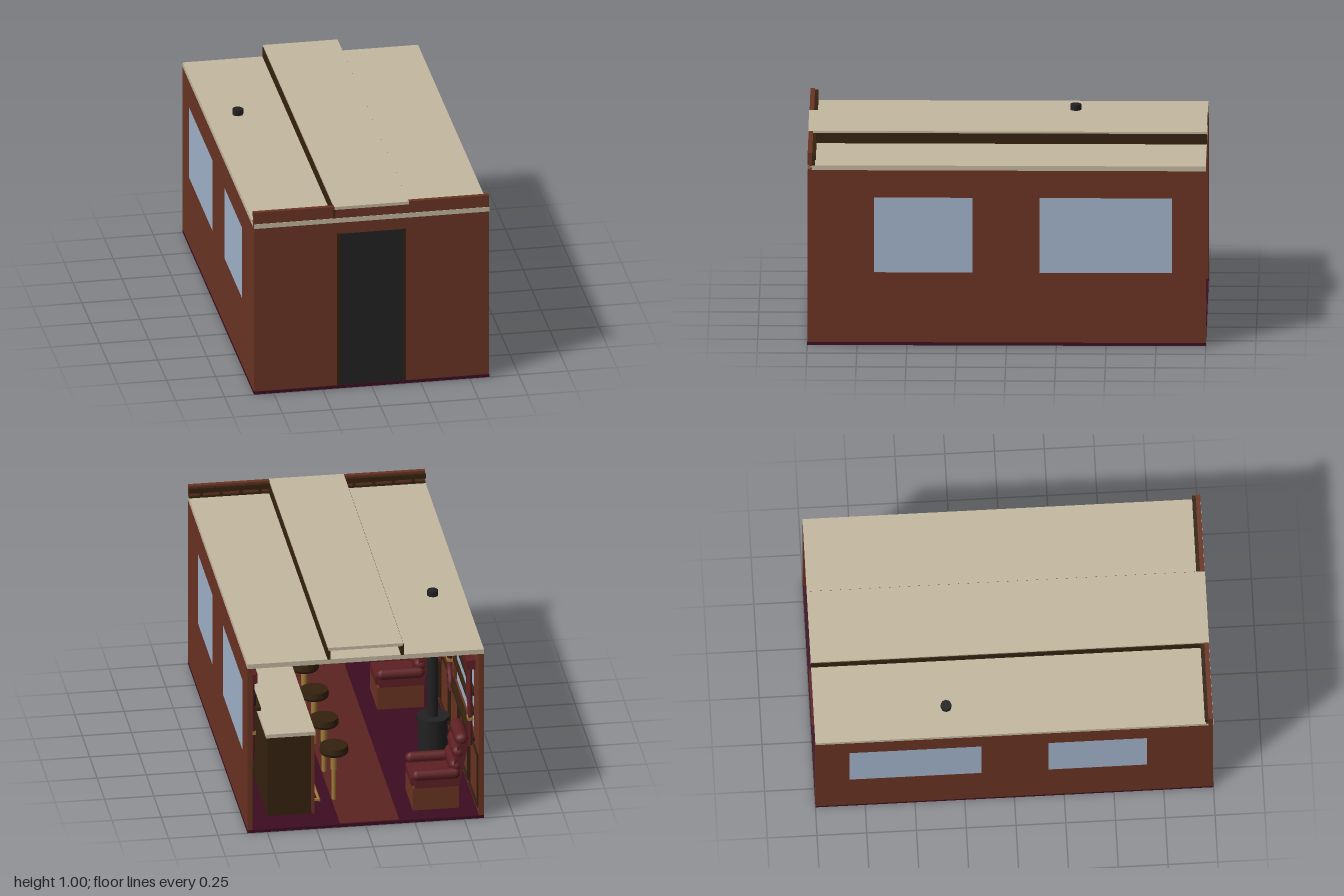
import * as THREE from 'three';

const mat = (name, color, side = THREE.FrontSide) => {
  const m = new THREE.MeshStandardMaterial({ color, side });
  m.name = name;
  return m;
};

export function createModel() {
  const wood = mat('red brown wood', 0x6b3423);
  const dark = mat('dark brown wood', 0x35220f);
  const cream = mat('cream', 0xc4b8a0);
  const black = mat('black iron', 0x222222);
  const glass = mat('pale blue glass', 0xa3b5cc);
  const burgundy = mat('burgundy floor', 0x3d0c22);
  const rugRed = mat('rug red', 0x5c2422);
  const maroon = mat('maroon fabric', 0x5e2024, THREE.DoubleSide);
  const brass = mat('brass', 0xa07a38);

  const root = new THREE.Group();
  root.name = 'saloonCar';
  const add = (name, geo, material, x = 0, y = 0, z = 0, parent = root) => {
    const m = new THREE.Mesh(geo, material);
    m.name = name;
    m.position.set(x, y, z);
    parent.add(m);
    return m;
  };
  // Box given by its limits on each axis
  const box = (name, material, [x0, x1], [y0, y1], [z0, z1], parent = root) =>
    add(name, new THREE.BoxGeometry(x1 - x0, y1 - y0, z1 - z0), material,
      (x0 + x1) / 2, (y0 + y1) / 2, (z0 + z1) / 2, parent);
  const rod = (name, material, r, h, x, y, z, parent = root, sides = 12, r2 = r) =>
    add(name, new THREE.CylinderGeometry(r2, r, h, sides), material, x, y + h / 2, z, parent);

  // Floor and rug
  box('floor', burgundy, [-0.6, 0.6], [0, 0.016], [-1, 1]);
  box('rug', rugRed, [-0.17, 0.13], [0.016, 0.021], [-0.995, 0.9]);

  // Side walls with window openings and panes
  const windows = [[-0.83, -0.165], [0.17, 0.665]];
  const wy = [0.38, 0.77];
  const rect = (C, a, b, c, d) => {
    const s = new C();
    s.moveTo(a, c); s.lineTo(b, c); s.lineTo(b, d); s.lineTo(a, d); s.closePath();
    return s;
  };
  const wallShape = rect(THREE.Shape, -1, 0.975, 0.016, 0.912);
  windows.forEach(([a, b]) => wallShape.holes.push(rect(THREE.Path, a, b, ...wy)));
  const wallGeo = new THREE.ExtrudeGeometry(wallShape, { depth: 0.025, bevelEnabled: false });
  for (const s of [1, -1]) {
    const wall = add('sideWall', wallGeo, wood, s > 0 ? 0.6 : -0.575, 0, 0);
    wall.rotation.y = -Math.PI / 2;
    windows.forEach(([a, b]) =>
      box('windowPane', glass, s > 0 ? [0.588, 0.599] : [-0.599, -0.588], wy, [a, b]));
  }

  // Front wall, door and jambs
  const frontShape = new THREE.Shape();
  [[-0.6, 0.016], [-0.16, 0.016], [-0.16, 0.85], [0.16, 0.85], [0.16, 0.016], [0.6, 0.016],
    [0.6, 1], [0.19, 1], [0.19, 0.985], [-0.19, 0.985], [-0.19, 1], [-0.6, 1]]
    .forEach(([x, y], i) => (i ? frontShape.lineTo(x, y) : frontShape.moveTo(x, y)));
  add('frontWall', new THREE.ExtrudeGeometry(frontShape, { depth: 0.023, bevelEnabled: false }), wood, 0, 0, 0.975);
  box('door', black, [-0.16, 0.16], [0.016, 0.85], [0.978, 0.997]);
  for (const s of [1, -1]) {
    const span = (a, b) => (s > 0 ? [a, b] : [-b, -a]);
    box('doorJamb', dark, span(0.16, 0.176), [0.016, 0.853], [0.965, 1]);
    // Parapet rail and trim behind and across the front
    box('parapetRail', dark, span(0.19, 0.6), [0.965, 0.99], [0.957, 0.975]);
    box('parapetFoot', dark, span(0.19, 0.6), [0.935, 0.945], [0.962, 0.975]);
    for (let i = 0; i < 4; i++)
      box('parapetBracket', dark, span(0.23 + i * 0.1, 0.245 + i * 0.1), [0.94, 0.97], [0.962, 0.975]);
    box('frontTrim', cream, span(0, 0.6), [0.912, 0.937], [0.975, 1]);
    // Raised roof sides
    box('raisedRoofSide', dark, span(0.178, 0.194), [0.935, 0.99], [-1, 0.998]);
  }
  box('roof', cream, [-0.6, 0.6], [0.912, 0.937], [-1, 0.976]);
  box('raisedRoof', cream, [-0.19, 0.19], [0.984, 1], [-1, 1]);

  // Stove with a pipe through the roof
  rod('stovePipe', black, 0.028, 0.95, -0.44, 0.016, -0.335, root, 8);
  rod('stoveBody', black, 0.075, 0.2, -0.44, 0.05, -0.335, root, 10);
  rod('stoveTop', black, 0.085, 0.02, -0.44, 0.25, -0.335, root, 10);
  rod('stoveBase', black, 0.09, 0.034, -0.44, 0.016, -0.335, root, 10);

  // Bar counter with panelled front, foot rail
  box('counterBody', dark, [0.255, 0.475], [0.016, 0.455], [-0.85, 0.55]);
  box('counterFront', wood, [0.247, 0.255], [0.05, 0.44], [-0.845, 0.545]);
  box('counterTop', cream, [0.235, 0.485], [0.455, 0.475], [-0.865, 0.565]);
  for (let i = 0; i < 5; i++) {
    const z = -0.84 + i * 0.345;
    box('counterPilaster', wood, [0.238, 0.25], [0.016, 0.455], [z - 0.012, z + 0.012]);
    box('railBracket', brass, [0.21, 0.25], [0.081, 0.091], [z - 0.005, z + 0.005]);
  }
  rod('footRail', brass, 0.008, 1.4, 0.215, 0.086, -0.15, root, 8).rotation.x = Math.PI / 2;
  root.children.at(-1).position.y = 0.086;

  // Bar stools
  for (let i = 0; i < 4; i++) {
    const stool = new THREE.Group();
    stool.name = 'barStool';
    stool.position.set(0.118, 0.018, -0.71 + i * 0.33);
    root.add(stool);
    rod('stoolPost', brass, 0.012, 0.27, 0, 0, 0, stool, 10);
    rod('stoolSleeve', brass, 0.017, 0.1, 0, 0.17, 0, stool, 10);
    rod('stoolSeat', dark, 0.068, 0.012, 0, 0.262, 0, stool, 16, 0.074);
    rod('stoolCushion', dark, 0.074, 0.03, 0, 0.274, 0, stool, 16, 0.07);
  }

  // Armchairs facing the bar
  for (const z of [-0.77, 0.42]) {
    const chair = new THREE.Group();
    chair.name = 'armchair';
    chair.position.set(-0.38, 0.016, z);
    root.add(chair);
    box('chairBase', wood, [-0.11, 0.125], [0, 0.12], [-0.125, 0.125], chair);
    box('seatCushion', maroon, [-0.09, 0.13], [0.12, 0.165], [-0.09, 0.09], chair);
    for (const s of [1, -1]) {
      box('armSide', maroon, [-0.11, 0.115], [0.12, 0.18], [s * 0.105 - 0.02, s * 0.105 + 0.02], chair);
      const arm = add('armRoll', new THREE.CapsuleGeometry(0.028, 0.19, 4, 10), maroon, 0.005, 0.185, s * 0.108, chair);
      arm.rotation.z = Math.PI / 2;
    }
    const back = new THREE.Group();
    back.name = 'chairBack';
    back.position.set(-0.09, 0.13, 0);
    back.rotation.z = 0.2;
    chair.add(back);
    box('backPanel', maroon, [-0.025, 0.025], [0, 0.24], [-0.11, 0.11], back);
    [0.09, 0.165, 0.235].forEach(y => {
      const roll = add('backRoll', new THREE.CapsuleGeometry(0.036, 0.16, 4, 10), maroon, 0.008, y, 0, back);
      roll.rotation.x = Math.PI / 2;
    });
  }

  // Pleated curtain gathered at a tie
  const curtain = (x, z, dir) => {
    const h = 0.46, w = 0.11;
    const g = new THREE.PlaneGeometry(1, h, 24, 16);
    const p = g.attributes.position;
    for (let i = 0; i < p.count; i++) {
      const u = p.getX(i) + 0.5, y = p.getY(i);
      const pinch = 1 - 0.6 * Math.exp(-(((y + 0.08) / 0.09) ** 2));
      p.setXYZ(i, 0.012 * Math.sin(u * Math.PI * 8), y, dir * u * w * pinch);
    }
    g.computeVertexNormals();
    add('curtain', g, maroon, x, 0.57, z);
    box('curtainTie', brass, [x - 0.014, x + 0.014], [0.482, 0.497], [z + dir * 0.025 - 0.025, z + dir * 0.025 + 0.025]);
  };

  // Window dressing, wainscot frames and bottle shelves
  for (const s of [1, -1]) {
    const span = (a, b) => (s > 0 ? [a, b] : [-b, -a]);
    windows.forEach(([a, b]) => {
      curtain(s * 0.552, a - 0.04, 1);
      curtain(s * 0.552, b + 0.04, -1);
      box('pelmet', maroon, span(0.53, 0.575), [0.77, 0.82], [a - 0.05, b + 0.05]);
      box('windowSill', dark, span(0.55, 0.578), [0.362, 0.38], [a - 0.03, b + 0.03]);
      if (s < 0) {
        [0.49, 0.6].forEach(y => box('windowRail', dark, span(0.568, 0.584), [y, y + 0.018], [a, b]));
        return;
      }
      box('bottleShelf', dark, [0.5, 0.575], [0.575, 0.592], [a + 0.04, b - 0.04]);
      const n = Math.round((b - a) / 0.07) - 1;
      for (let i = 0; i < n; i++) {
        const z = a + 0.075 + i * 0.07, m = [black, dark, brass, maroon][i % 4];
        rod('bottle', m, 0.015, 0.06, 0.535, 0.592, z, root, 8);
        rod('bottleNeck', m, 0.008, 0.035, 0.535, 0.652, z, root, 8, 0.005);
      }
    });
    for (let i = 0; i < 6; i++) {
      const z0 = -0.98 + i * 0.325, z1 = z0 + 0.29, x = span(0.567, 0.576);
      box('wainscotRail', dark, x, [0.33, 0.345], [z0, z1]);
      box('wainscotRail', dark, x, [0.05, 0.065], [z0, z1]);
      box('wainscotStile', dark, x, [0.05, 0.345], [z0, z0 + 0.014]);
      box('wainscotStile', dark, x, [0.05, 0.345], [z1 - 0.014, z1]);
    }
  }
  return root;
}
